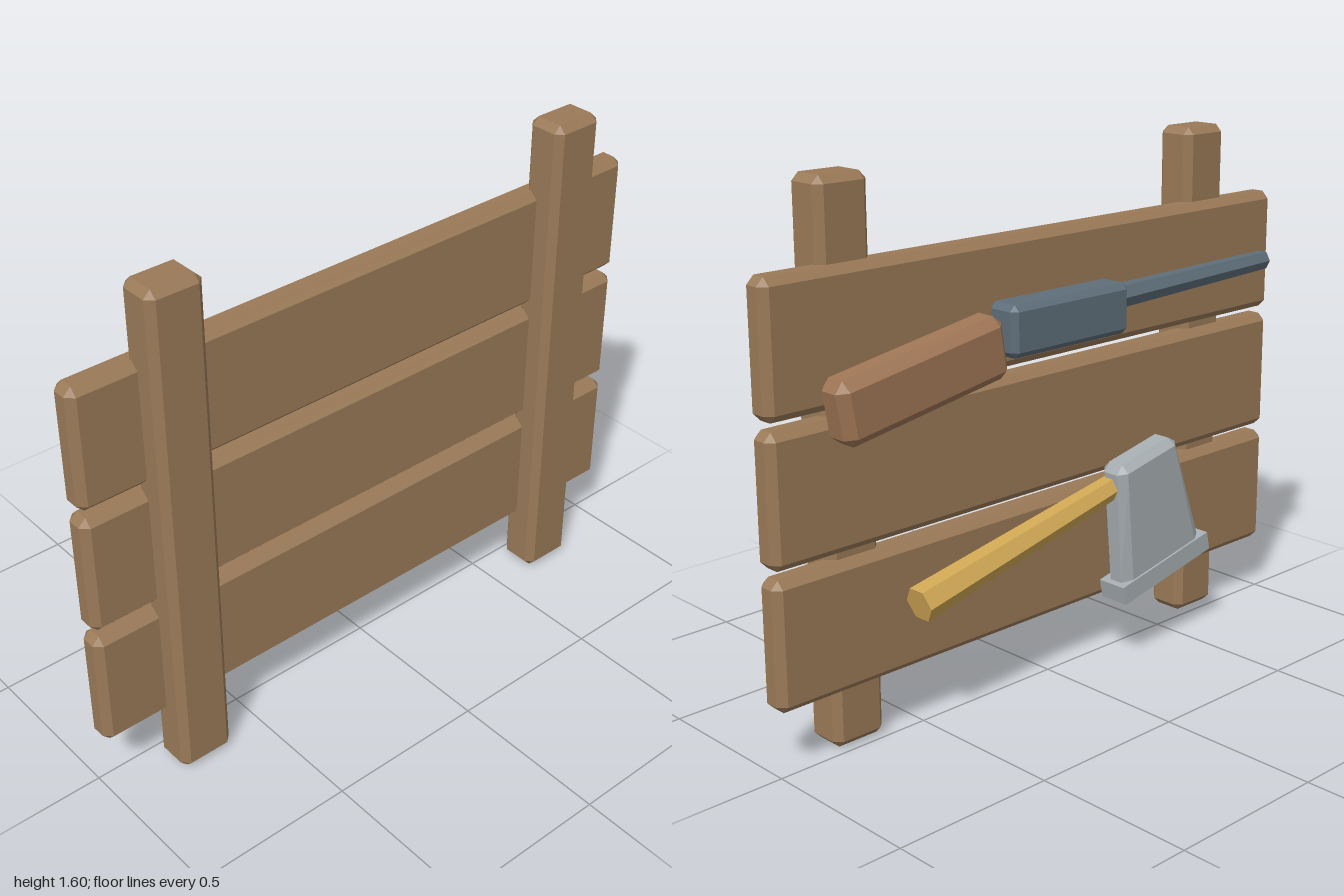
import * as THREE from 'three';
import { ConvexGeometry } from 'three/addons/geometries/ConvexGeometry.js';

const material = (name, color) => {
  const m = new THREE.MeshStandardMaterial({ color, flatShading: true });
  m.name = name;
  return m;
};

// Box with every edge chamfered by b; shape(p) may move the corner points
function chamferBox(w, h, d, b, shape) {
  const half = [w / 2, h / 2, d / 2];
  const points = [];
  for (const sx of [-1, 1]) for (const sy of [-1, 1]) for (const sz of [-1, 1])
    for (let axis = 0; axis < 3; axis++) {
      const c = half.map((v, i) => (i === axis ? v : v - b));
      const p = new THREE.Vector3(sx * c[0], sy * c[1], sz * c[2]);
      if (shape) shape(p);
      points.push(p);
    }
  return new ConvexGeometry(points);
}

// Six-sided tapering bar between two points, flat on top
function hexBar(from, to, rFrom, rTo) {
  const a = new THREE.Vector3(...from), b = new THREE.Vector3(...to);
  const g = new THREE.CylinderGeometry(rTo, rFrom, a.distanceTo(b), 6);
  g.rotateZ(-Math.PI / 2);
  g.rotateZ(Math.atan2(b.y - a.y, b.x - a.x));
  const mid = a.add(b).multiplyScalar(0.5);
  return g.translate(mid.x, mid.y, mid.z);
}

export function createModel() {
  const wood = material('rack wood', 0x9a7a58);
  const stockWood = material('stock wood', 0x9e7555);
  const steel = material('dark steel', 0x5e6e79);
  const blade = material('pale steel', 0xa6adb1);
  const handleWood = material('handle wood', 0xd0a754);

  const model = new THREE.Group();
  model.name = 'weaponRack';
  const add = (parent, name, geometry, mat, x = 0, y = 0, z = 0, tilt = 0) => {
    const mesh = new THREE.Mesh(geometry, mat);
    mesh.name = name;
    mesh.position.set(x, y, z);
    mesh.rotation.z = tilt;
    parent.add(mesh);
    return mesh;
  };

  // Rack: three planks on two front posts
  for (let i = 0; i < 3; i++)
    add(model, 'plank', chamferBox(2, 0.38, 0.087, 0.023), wood, 0, 0.373 + i * 0.404, 0.029);
  for (const side of [-1, 1])
    add(model, 'post', chamferBox(0.174, 1.6, 0.128, 0.022), wood, side * 0.709, 0.8, 0.082);

  // Long gun hanging on the back
  const gun = new THREE.Group();
  gun.name = 'longGun';
  model.add(gun);
  add(gun, 'stock', chamferBox(0.58, 0.185, 0.112, 0.028), stockWood, 0.56, 1.05, -0.081, -0.165);
  add(gun, 'receiver', chamferBox(0.465, 0.152, 0.112, 0.018), steel, 0.03, 1.129, -0.083);
  add(gun, 'barrel', hexBar([-0.875, 1.172, -0.083], [-0.18, 1.155, -0.083], 0.031, 0.038), steel);

  // Axe hanging below it
  const axe = new THREE.Group();
  axe.name = 'axe';
  model.add(axe);
  add(axe, 'axeHandle', hexBar([-0.42, 0.618, -0.082], [0.575, 0.405, -0.082], 0.034, 0.053), handleWood);

  const head = new THREE.Group();
  head.name = 'axeHead';
  head.position.set(-0.38, 0.271, -0.095);
  head.rotation.z = -0.212;
  axe.add(head);
  // The head widens and thins towards the cutting edge
  const flare = (p) => {
    const t = 0.5 - p.y / 0.4;
    p.x *= 1 + 0.42 * t;
    p.z *= 1 - 0.15 * t;
  };
  add(head, 'axeHeadBody', chamferBox(0.255, 0.4, 0.1, 0.024, flare), blade, 0, 0.205, 0);
  add(head, 'cuttingEdge', new THREE.BoxGeometry(0.395, 0.06, 0.1), blade);

  return model;
}
